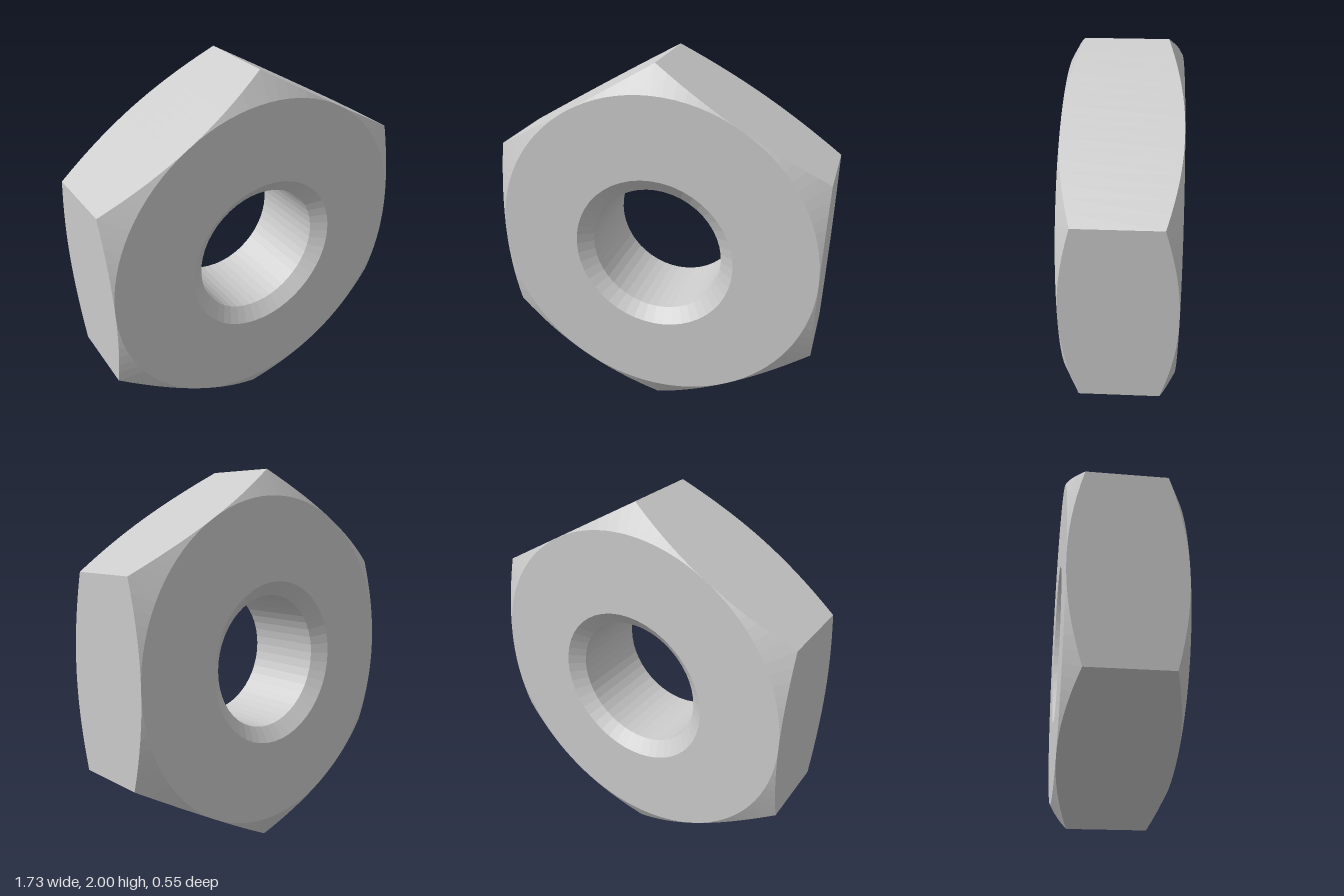
import * as THREE from 'three';

const HALF = 0.277;                  // half thickness
const FLAT = Math.sqrt(3) / 2;       // centre to a flat of the hexagon
const BORE = 0.357, MOUTH = 0.433;   // bore radius and its countersunk mouth
const SINK = 0.06;                   // countersink depth
const STEPS = 96, BORE_SIDES = 48;

// Radius of a regular polygon at angle a, with one corner at the top.
function polygonRadius(corner, sides, a) {
  const step = (2 * Math.PI) / sides;
  const t = (((a - Math.PI / 2) % step) + step) % step - step / 2;
  return corner * Math.cos(step / 2) / Math.cos(t);
}

// Closed cross-section [radius, z] of the nut at angle a.
function section(a) {
  const bore = polygonRadius(BORE, BORE_SIDES, a);
  const mouth = polygonRadius(MOUTH, BORE_SIDES, a);
  const hex = polygonRadius(1, 6, a);
  const edge = HALF - (hex - FLAT) * Math.tan(Math.PI / 6); // 30 degree corner chamfer
  return [
    [bore, SINK - HALF], [mouth, -HALF], [FLAT, -HALF], [hex, -edge],
    [hex, edge], [FLAT, HALF], [mouth, HALF], [bore, HALF - SINK],
  ];
}

// Joins the chosen strips of the cross-section all the way round.
function sweep(strips) {
  const rings = [];
  for (let i = 0; i <= STEPS; i++) {
    const a = (2 * Math.PI * i) / STEPS;
    rings.push(section(a).map(([r, z]) => new THREE.Vector3(r * Math.cos(a), 1 + r * Math.sin(a), z)));
  }
  const points = [];
  const addTriangle = (a, b, c) => {
    if (new THREE.Triangle(a, b, c).getArea() > 1e-9) points.push(a, b, c);
  };
  for (let i = 0; i < STEPS; i++) {
    for (const k of strips) {
      const n = (k + 1) % 8;
      const a = rings[i][k], b = rings[i + 1][k], c = rings[i + 1][n], d = rings[i][n];
      addTriangle(a, b, c);
      addTriangle(a, c, d);
    }
  }
  const geometry = new THREE.BufferGeometry().setFromPoints(points);
  geometry.computeVertexNormals();
  return geometry;
}

export function createModel() {
  const nut = new THREE.Group();
  nut.name = 'hexNut';
  const material = new THREE.MeshStandardMaterial({ color: 0xcccccc, flatShading: true });
  const parts = {
    hexSides: [3],
    cornerChamfers: [2, 4],
    endFaces: [1, 5],
    countersinks: [0, 6],
    bore: [7],
  };
  for (const [name, strips] of Object.entries(parts)) {
    const mesh = new THREE.Mesh(sweep(strips), material);
    mesh.name = name;
    nut.add(mesh);
  }
  return nut;
}
